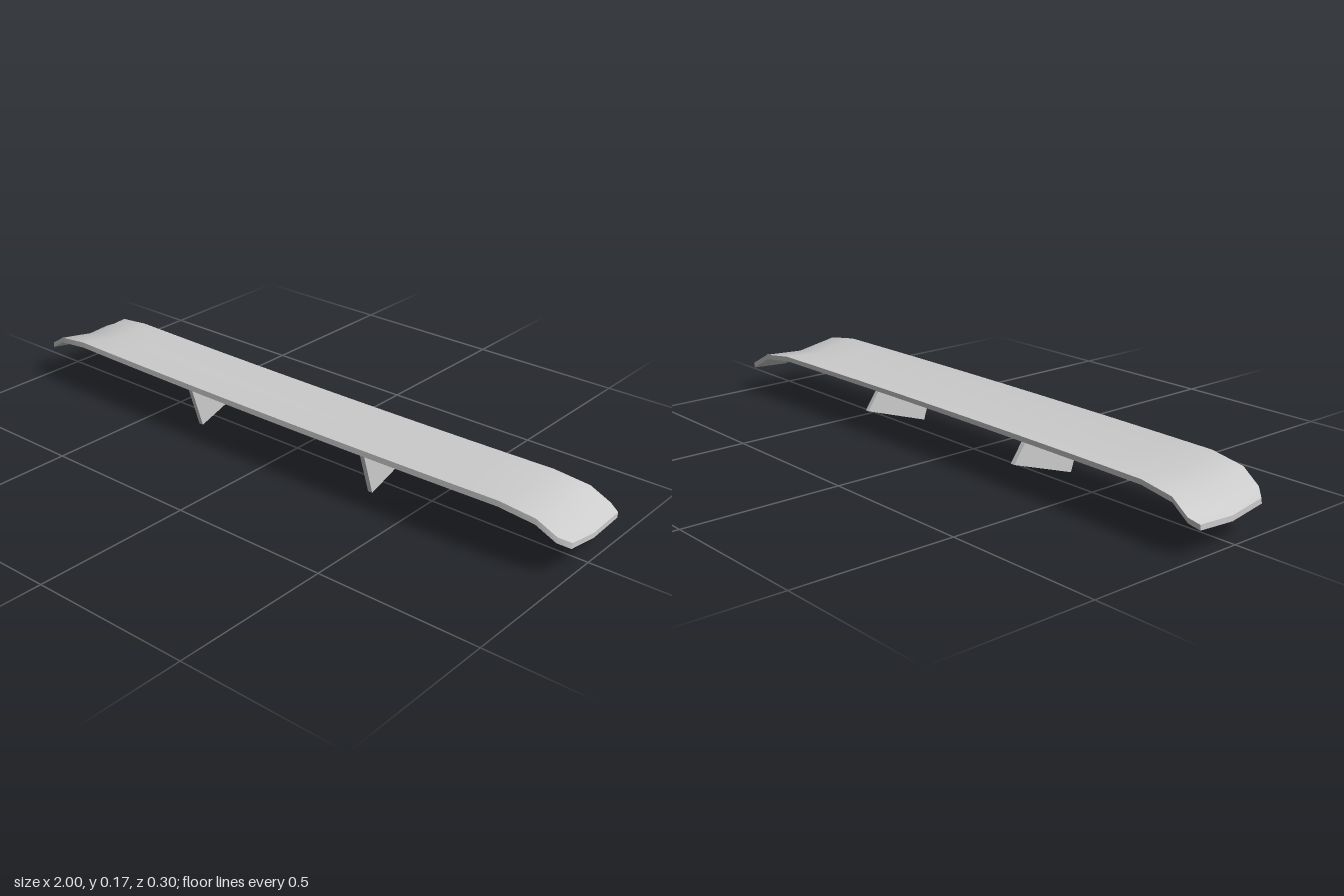
import * as THREE from 'three';
import { toCreasedNormals } from 'three/addons/utils/BufferGeometryUtils.js';

const material = new THREE.MeshStandardMaterial({ color: 0xcccccc });
const THICKNESS = 0.016;

// Half-span stations: x, then z and y of the front edge, middle line and back edge
function halfStations() {
  const list = [];
  for (let i = 0; i <= 6; i++) {
    const x = 0.8 * i / 6, sweep = 0.011 * (i / 6) ** 2;
    list.push([x, 0.149 - sweep, 0.17, 0.006 - sweep, 0.145, -0.125 - sweep, 0.152]);
  }
  list.push(
    [0.91, 0.131, 0.155, -0.008, 0.13, -0.143, 0.138],
    [0.97, 0.121, 0.119, -0.012, 0.098, -0.152, 0.103],
    [1, 0.095, 0.102, -0.015, 0.083, -0.14, 0.09],
  );
  return list;
}

// Curved blade with drooping, clipped tips, lofted from six-point sections
function wingGeometry() {
  const half = halfStations();
  const mirrored = half.slice(1).reverse().map(([x, ...rest]) => [-x, ...rest]);
  const stations = [...mirrored, ...half];
  const positions = [], index = [];
  for (const [x, zf, yf, zm, ym, zb, yb] of stations) {
    positions.push(
      x, yf, zf, x, ym, zm, x, yb, zb,
      x, yb - THICKNESS, zb + 0.002, x, ym - THICKNESS, zm, x, yf - THICKNESS, zf + 0.003,
    );
  }
  for (let s = 0; s < stations.length - 1; s++) {
    for (let k = 0; k < 6; k++) {
      const a = s * 6 + k, b = s * 6 + (k + 1) % 6;
      index.push(a, a + 6, b, b, a + 6, b + 6);
    }
  }
  // Tip caps
  const e = (stations.length - 1) * 6;
  for (const [p, q, r, t] of [[0, 1, 4, 5], [1, 2, 3, 4]]) {
    index.push(p, q, r, p, r, t);
    index.push(e + p, e + r, e + q, e + p, e + t, e + r);
  }
  const geometry = new THREE.BufferGeometry();
  geometry.setAttribute('position', new THREE.Float32BufferAttribute(positions, 3));
  geometry.setIndex(index);
  return toCreasedNormals(geometry, THREE.MathUtils.degToRad(36));
}

// Tapered plate, drawn as (z, y) and extruded across x
function strutGeometry(width) {
  const outline = [[0.073, 0], [0.121, 0.151], [0.005, 0.136], [-0.1, 0.14], [-0.148, 0.072]];
  const shape = new THREE.Shape(outline.map(([z, y]) => new THREE.Vector2(z, y)));
  const geometry = new THREE.ExtrudeGeometry(shape, { depth: width, bevelEnabled: false });
  geometry.translate(0, 0, -width / 2);
  geometry.rotateY(-Math.PI / 2);
  return geometry;
}

export function createModel() {
  const model = new THREE.Group();
  model.name = 'rearWing';

  const blade = new THREE.Mesh(wingGeometry(), material);
  blade.name = 'wingBlade';
  model.add(blade);

  const geometry = strutGeometry(0.015);
  for (const side of [1, -1]) {
    const strut = new THREE.Mesh(geometry, material);
    strut.name = side > 0 ? 'leftStrut' : 'rightStrut';
    strut.position.x = side * 0.336;
    model.add(strut);
  }
  return model;
}
